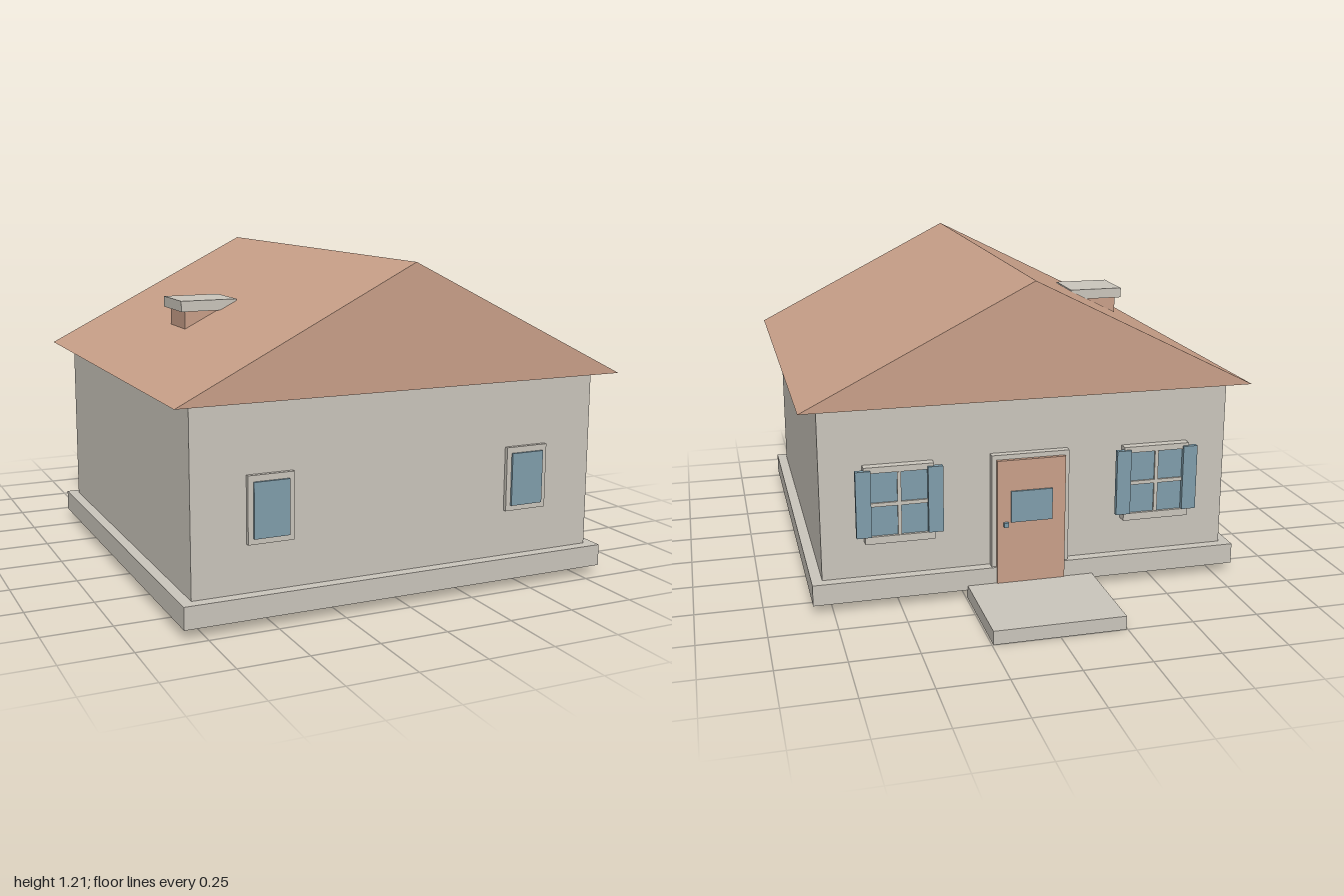
import * as THREE from 'three';

export function createModel() {
  const house = new THREE.Group();
  house.name = 'house';

  const material = (name, color) => {
    const m = new THREE.MeshStandardMaterial({ color });
    m.name = name;
    return m;
  };
  const stone = material('pale stone', 0xcbc6bc);
  const clay = material('terracotta', 0xc9a089);
  const blue = material('slate blue', 0x809eac);

  // Box given by its extents along each axis
  const box = (parent, name, mat, [x0, x1], [y0, y1], [z0, z1]) => {
    const mesh = new THREE.Mesh(new THREE.BoxGeometry(x1 - x0, y1 - y0, z1 - z0), mat);
    mesh.position.set((x0 + x1) / 2, (y0 + y1) / 2, (z0 + z1) / 2);
    mesh.name = name;
    parent.add(mesh);
    return mesh;
  };
  const group = (name, x = 0) => {
    const g = new THREE.Group();
    g.name = name;
    g.position.x = x;
    house.add(g);
    return g;
  };

  // Main body
  box(house, 'plinth', stone, [-0.825, 0.825], [0.035, 0.115], [-0.61, 0.972]);
  box(house, 'walls', stone, [-0.785, 0.785], [0.115, 0.775], [-0.57, 0.93]);
  box(house, 'doorstep', stone, [-0.245, 0.245], [0, 0.052], [-1, -0.59]);

  // Solid gable roof
  const gable = new THREE.Shape([
    new THREE.Vector2(-0.855, 0.775),
    new THREE.Vector2(0.855, 0.775),
    new THREE.Vector2(0, 1.207),
  ]);
  const roof = new THREE.Mesh(
    new THREE.ExtrudeGeometry(gable, { depth: 1.645, bevelEnabled: false }), clay);
  roof.position.z = -0.645;
  roof.name = 'roof';
  house.add(roof);

  // Chimney
  const chimney = group('chimney', -0.472);
  box(chimney, 'chimneyShaft', clay, [-0.09, 0.09], [0.8, 0.99], [0.09, 0.255]);
  box(chimney, 'chimneyCap', stone, [-0.11, 0.11], [0.99, 1.03], [0.07, 0.275]);

  for (const side of [-1, 1]) {
    // Plain front windows
    const front = group('frontWindow', side * 0.504);
    box(front, 'frontWindowFrame', stone, [-0.084, 0.084], [0.285, 0.522], [0.925, 0.945]);
    box(front, 'frontWindowPane', blue, [-0.065, 0.065], [0.305, 0.5], [0.945, 0.953]);

    // Shuttered windows beside the door
    const back = group('shutteredWindow', side * 0.497);
    box(back, 'windowFrame', stone, [-0.13, 0.13], [0.27, 0.545], [-0.595, -0.565]);
    box(back, 'windowHeader', stone, [-0.13, 0.13], [0.525, 0.548], [-0.605, -0.57]);
    box(back, 'windowSill', stone, [-0.13, 0.13], [0.255, 0.283], [-0.61, -0.57]);
    box(back, 'windowPane', blue, [-0.105, 0.105], [0.283, 0.525], [-0.599, -0.595]);
    box(back, 'verticalBar', stone, [-0.007, 0.007], [0.283, 0.525], [-0.606, -0.598]);
    box(back, 'horizontalBar', stone, [-0.105, 0.105], [0.397, 0.411], [-0.606, -0.598]);
    for (const s of [-1, 1]) {
      box(back, 'shutter', blue, [s * 0.1335 - 0.028, s * 0.1335 + 0.028],
        [0.283, 0.537], [-0.615, -0.595]);
    }
  }

  // Door with surround, small pane and knob
  const door = group('door');
  box(door, 'doorFrame', stone, [-0.15, 0.15], [0.022, 0.555], [-0.6, -0.565]);
  box(door, 'doorLeaf', clay, [-0.132, 0.132], [0.045, 0.537], [-0.615, -0.59]);
  box(door, 'doorPane', blue, [-0.08, 0.08], [0.295, 0.417], [-0.622, -0.614]);
  box(door, 'doorKnob', blue, [0.09, 0.108], [0.278, 0.296], [-0.627, -0.614]);

  return house;
}
